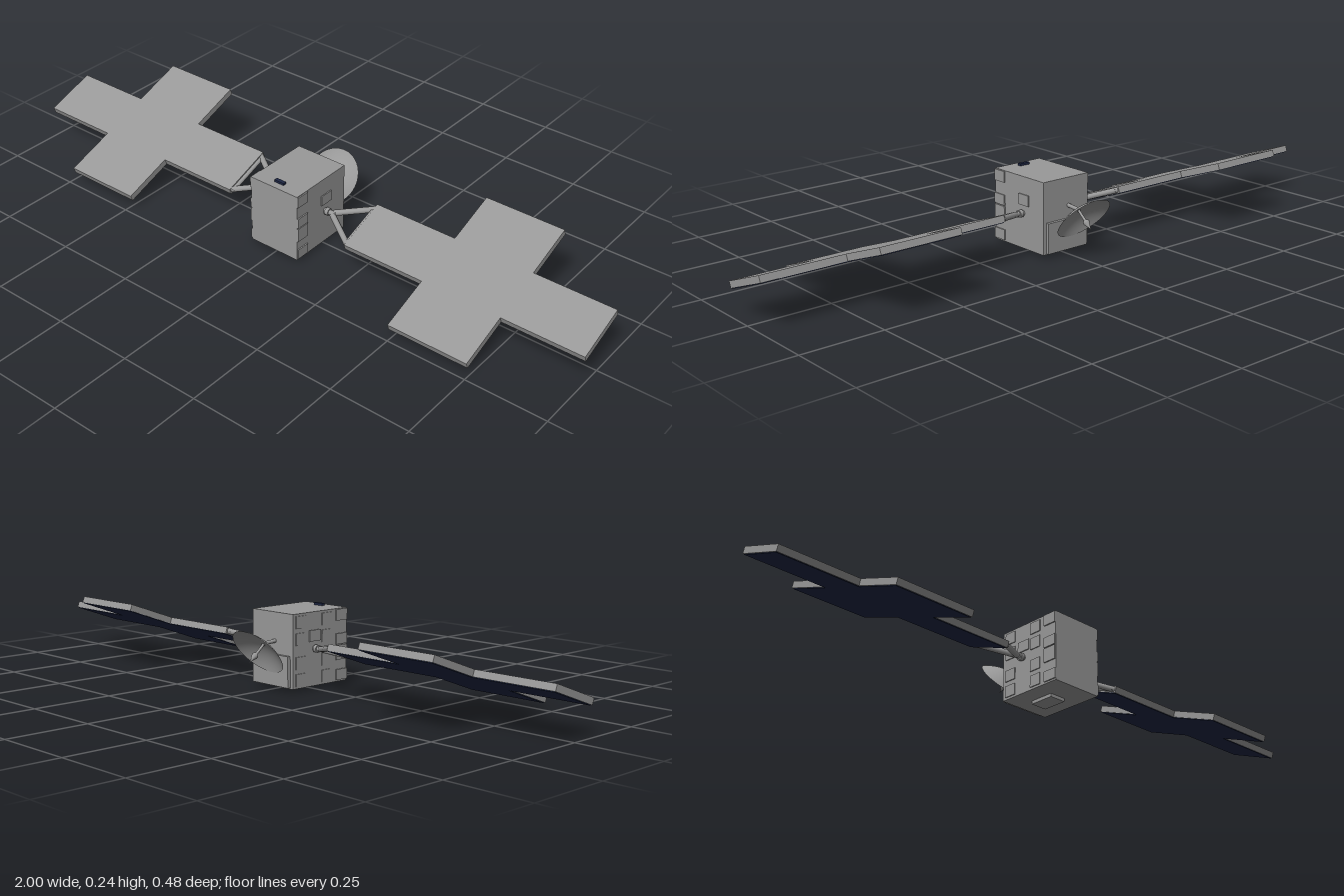
import * as THREE from 'three';

export function createModel() {
  const gray = new THREE.MeshStandardMaterial({ color: 0x999999 });
  gray.name = 'satellite gray';
  gray.side = THREE.DoubleSide;
  const navy = new THREE.MeshStandardMaterial({ color: 0x1e2744 });
  navy.name = 'solar cell navy';

  const model = new THREE.Group();
  model.name = 'satellite';

  const add = (parent, name, geometry, material, x = 0, y = 0, z = 0) => {
    const mesh = new THREE.Mesh(geometry, material);
    mesh.name = name;
    mesh.position.set(x, y, z);
    parent.add(mesh);
    return mesh;
  };
  const box = (parent, name, size, pos, material = gray) =>
    add(parent, name, new THREE.BoxGeometry(...size), material, ...pos);
  // Round bar between two points
  const rod = (parent, name, a, b, r0, r1 = r0, sides = 10) => {
    const from = new THREE.Vector3(...a), to = new THREE.Vector3(...b);
    const dir = to.clone().sub(from);
    const mesh = add(parent, name, new THREE.CylinderGeometry(r1, r0, dir.length(), sides), gray);
    mesh.position.copy(from).add(to).multiplyScalar(0.5);
    mesh.quaternion.setFromUnitVectors(new THREE.Vector3(0, 1, 0), dir.normalize());
    return mesh;
  };

  // Body with its top sensor, bottom hatch and rear plate
  const body = new THREE.Group();
  body.name = 'body';
  model.add(body);
  box(body, 'bodyShell', [0.172, 0.22, 0.22], [0, 0.12, 0.019]);
  box(body, 'topSensor', [0.034, 0.008, 0.012], [0, 0.233, 0.1], navy);
  box(body, 'bottomHatch', [0.055, 0.01, 0.08], [0, 0.005, 0.01]);
  box(body, 'rearPlate', [0.15, 0.093, 0.01], [0, 0.06, -0.096]);

  // Raised equipment covers on both sides
  const covers = [[0.211, 0.034], [0.139, 0.032], [0.098, 0.044], [0.031, 0.032]];
  for (const s of [1, -1]) {
    for (const [y, h] of covers) box(body, 'sideCover', [0.006, h, 0.045], [s * 0.087, y, 0.106]);
    box(body, 'sideHatch', [0.005, 0.033, 0.045], [s * 0.087, 0.16, -0.004]);
  }
  // Extra tiles on the right side
  for (const z of [0.045, -0.06])
    for (const y of [0.205, 0.155, 0.085, 0.035])
      box(body, 'sideTile', [0.004, 0.036, 0.04], [-0.087, y, z]);

  // Cross-shaped outline of one wing, widened at its middle
  const crossShape = (inset) => {
    const x = [0.22 + inset, 0.49 + inset, 0.745 - inset, 1 - inset];
    const n = 0.084 - inset, w = 0.25 - inset;
    const points = [
      [x[0], -n], [x[1], -n], [x[1], -w], [x[2], -w], [x[2], -n], [x[3], -n],
      [x[3], n], [x[2], n], [x[2], w], [x[1], w], [x[1], n], [x[0], n],
    ];
    return new THREE.Shape(points.map((p) => new THREE.Vector2(...p)));
  };
  const plate = (inset, thickness) => {
    const geometry = new THREE.ExtrudeGeometry(crossShape(inset), { depth: thickness, bevelEnabled: false });
    return geometry.rotateX(Math.PI / 2).translate(0, thickness / 2, 0);
  };

  // Tilted wings: panel, cells underneath and forked yoke
  for (const s of [1, -1]) {
    const tilt = new THREE.Group();
    tilt.name = s > 0 ? 'leftWing' : 'rightWing';
    tilt.position.set(0, s > 0 ? 0.119 : 0.122, s > 0 ? 0 : -0.005);
    tilt.rotation.x = THREE.MathUtils.degToRad(20);
    model.add(tilt);
    const wing = new THREE.Group();
    wing.name = 'wing';
    wing.rotation.y = s > 0 ? 0 : Math.PI;
    tilt.add(wing);

    add(wing, 'panel', plate(0, 0.02), gray);
    add(wing, 'solarCells', plate(0.003, 0.002), navy, 0, -0.0108, 0);
    rod(wing, 'hingeShaft', [0.08, 0, 0], [0.125, 0, 0], 0.008);
    rod(wing, 'hingeCollar', [0.092, 0, 0], [0.104, 0, 0], 0.012);
    for (const k of [1, -1]) {
      rod(wing, 'yokeArm', [0.117, 0, k * 0.004], [0.223, 0, k * 0.074], 0.009);
    }
    rod(wing, 'yokeCrossbar', [0.217, 0, -0.076], [0.217, 0, 0.076], 0.007);
  }

  // Dish: local +y is the direction it faces, downward and to the rear
  const dish = new THREE.Group();
  dish.name = 'dishAntenna';
  dish.position.set(-0.01, 0.139, -0.136);
  dish.quaternion.setFromUnitVectors(
    new THREE.Vector3(0, 1, 0), new THREE.Vector3(0, -0.65, -0.76).normalize());
  model.add(dish);
  const bowl = [];
  for (let i = 0; i <= 10; i++) {
    const r = 0.088 * i / 10;
    bowl.push(new THREE.Vector2(r, 0.03 * (i / 10) ** 2));
  }
  add(dish, 'dishBowl', new THREE.LatheGeometry(bowl, 36), gray);
  const feed = [[0, 0], [0.004, 0], [0.004, 0.036], [0.01, 0.042], [0.009, 0.048], [0.003, 0.062], [0, 0.072]];
  add(dish, 'dishFeed', new THREE.LatheGeometry(feed.map((p) => new THREE.Vector2(...p)), 14), gray);
  rod(model, 'dishMount', [-0.01, 0.145, -0.088], [-0.01, 0.141, -0.138], 0.006);

  return model;
}
